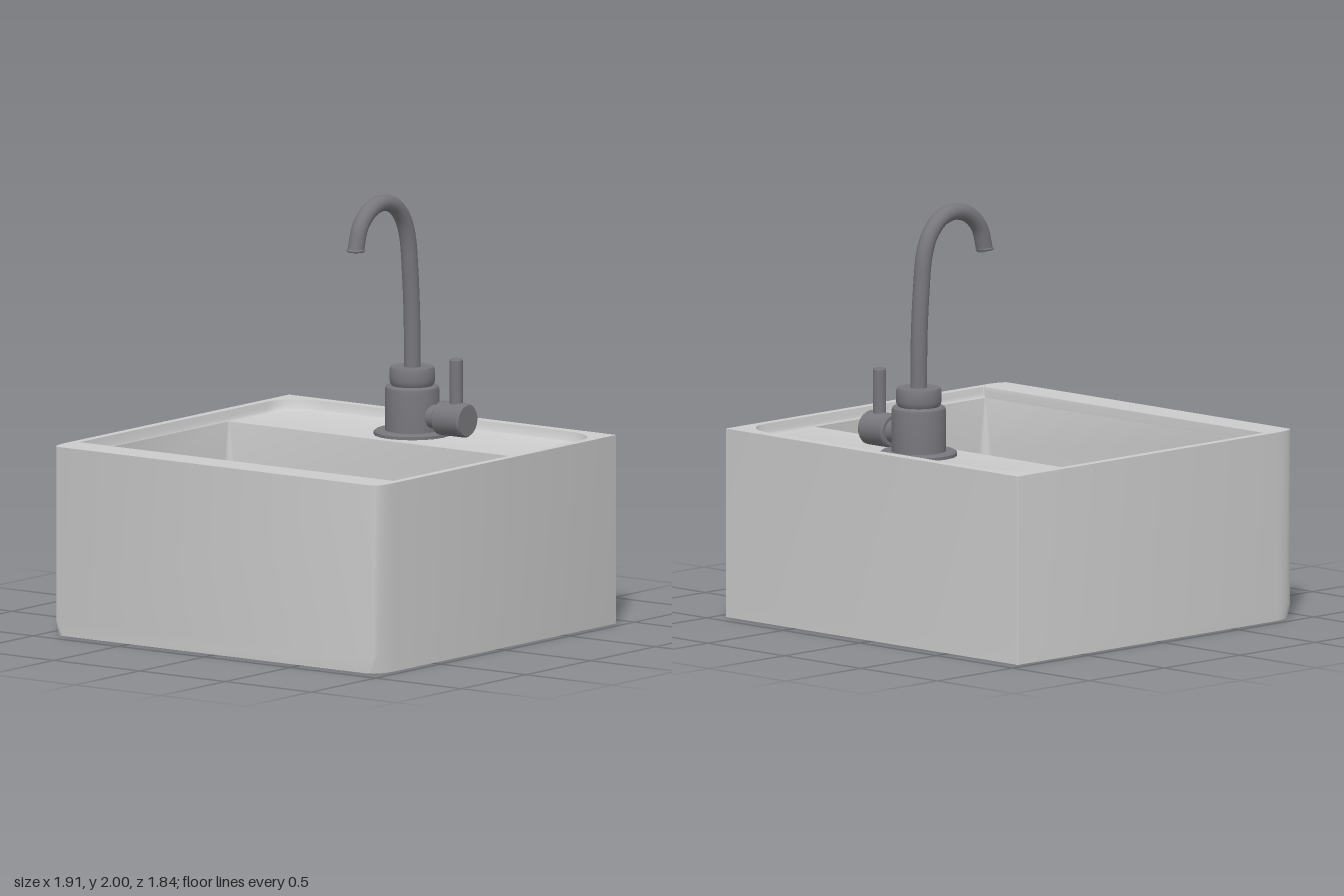
import * as THREE from 'three';
import { toCreasedNormals } from 'three/addons/utils/BufferGeometryUtils.js';

const ceramic = new THREE.MeshStandardMaterial({ color: 0xcccccc });
const metal = new THREE.MeshStandardMaterial({ color: 0x77777c, side: THREE.DoubleSide });

// Rounded rectangle in the xz plane; back and front corners have their own radii
function loop([y, hx, zBack, zFront, bx, bz, fx, fz], steps = 6) {
  const points = [];
  for (let corner = 0; corner < 4; corner++) {
    const front = corner < 2;
    const sx = corner === 0 || corner === 3 ? 1 : -1;
    const rx = front ? fx : bx, rz = front ? fz : bz;
    const cx = sx * (hx - rx), cz = front ? zFront - rz : zBack + rz;
    for (let k = 0; k <= steps; k++) {
      const t = (corner + k / steps) * Math.PI / 2;
      points.push([cx + rx * Math.cos(t), y, cz + rz * Math.sin(t)]);
    }
  }
  return points;
}

// Skin over consecutive loops
function loft(levels) {
  const rings = levels.map((l) => loop(l));
  const n = rings[0].length, index = [];
  for (let i = 0; i < rings.length - 1; i++) {
    for (let j = 0; j < n; j++) {
      const k = (j + 1) % n;
      const a = i * n + j, b = a + n, c = i * n + k, d = c + n;
      index.push(a, b, c, c, b, d);
    }
  }
  const g = new THREE.BufferGeometry();
  g.setAttribute('position', new THREE.Float32BufferAttribute(rings.flat(2), 3));
  g.setIndex(index);
  return toCreasedNormals(g, 0.6);
}

function add(parent, name, geometry, material, x = 0, y = 0, z = 0) {
  const mesh = new THREE.Mesh(geometry, material);
  mesh.name = name;
  mesh.position.set(x, y, z);
  parent.add(mesh);
  return mesh;
}

// Lathe with crisp edges from [radius, height] pairs
function turned(profile, segments = 32) {
  const g = new THREE.LatheGeometry(profile.map(([r, y]) => new THREE.Vector2(r, y)), segments);
  return toCreasedNormals(g, 0.6);
}

export function createModel() {
  const model = new THREE.Group();
  model.name = 'sink';

  // Basin: underside, outer wall, rim, tap ledge, then bowl down to its floor
  const e = 0.004, floorY = 0.2;
  const levels = [
    [0, 0.002, -0.002, 0.002, 0.001, 0.001, 0.001, 0.001],
    [0, 0.955, -0.92, 0.92, e, e, 0.07, 0.12],
    [0.07, 0.955, -0.92, 0.92, e, e, 0.035, 0.12],
    [0.89, 0.955, -0.92, 0.92, e, e, 0.035, 0.12],
    [0.89, 0.915, -0.865, 0.752, 0.2, 0.16, e, e],
    [0.865, 0.91, -0.86, 0.75, 0.2, 0.16, e, e],
    [0.848, 0.907, -0.85, 0.75, 0.2, 0.16, e, e],
    [0.84, 0.902, -0.83, 0.75, 0.2, 0.16, e, e],
    [0.84, 0.9, -0.38, 0.749, e, e, e, e],
    [0.6, 0.895, -0.373, 0.745, 0.04, 0.04, 0.04, 0.04],
  ];
  // Curved transition from bowl walls to floor
  for (let k = 0; k <= 6; k++) {
    const t = k / 6 * Math.PI / 2, inset = 1 - Math.cos(t);
    const r = 0.1 + 0.04 * inset;
    levels.push([floorY + 0.13 * (1 - Math.sin(t)), 0.885 - 0.12 * inset,
      -0.365 + 0.07 * inset, 0.74 - 0.07 * inset, r, r, r, r]);
  }
  levels.push([floorY, 0.002, 0.198, 0.202, 0.001, 0.001, 0.001, 0.001]);
  add(model, 'basin', loft(levels), ceramic);

  // Drain
  const drain = new THREE.Group();
  drain.name = 'drain';
  drain.position.set(0, floorY, 0.385);
  model.add(drain);
  add(drain, 'drainPlate', turned([[0.112, 0], [0.112, 0.008], [0.04, 0.008], [0, 0.008]]), metal);
  add(drain, 'drainPlug', turned([[0.038, 0.008], [0.038, 0.018], [0, 0.018]], 20), metal);

  // Faucet
  const faucet = new THREE.Group();
  faucet.name = 'faucet';
  faucet.position.set(0, 0, -0.607);
  model.add(faucet);
  add(faucet, 'faucetFlange', turned([[0, 0.835], [0.18, 0.835], [0.18, 0.855], [0.172, 0.862], [0.12, 0.862]], 20), metal);
  add(faucet, 'faucetBody', turned([
    [0.127, 0.85], [0.127, 1.05], [0.124, 1.065], [0.115, 1.073], [0.097, 1.073],
    [0.104, 1.085], [0.106, 1.1], [0.106, 1.145], [0.1, 1.16], [0, 1.16],
  ]), metal);

  // Spout, as height and forward offset along its centre line
  const path = [[1.14, 0], [1.4, 0.003], [1.62, 0.017], [1.78, 0.037], [1.87, 0.073], [1.935, 0.137],
    [1.962, 0.227], [1.94, 0.325], [1.87, 0.402], [1.76, 0.437]];
  const curve = new THREE.CatmullRomCurve3(path.map(([y, z]) => new THREE.Vector3(0, y, z)));
  add(faucet, 'spout', new THREE.TubeGeometry(curve, 48, 0.039, 16), metal);
  add(faucet, 'spoutTip', new THREE.TorusGeometry(0.036, 0.007, 8, 20), metal, 0, 1.764, 0.437)
    .rotation.x = Math.PI / 2;

  // Side handle
  const handle = add(faucet, 'handleBarrel', turned([
    [0, 0.1], [0.056, 0.1], [0.056, 0.165], [0.072, 0.165], [0.08, 0.173],
    [0.08, 0.315], [0.073, 0.325], [0, 0.325],
  ]), metal, 0, 0.935, 0);
  handle.rotation.z = -Math.PI / 2;
  add(faucet, 'lever', turned([[0.031, 0.95], [0.031, 1.215], [0.026, 1.222], [0, 1.222]], 20), metal, 0.256, 0, 0);

  return model;
}
